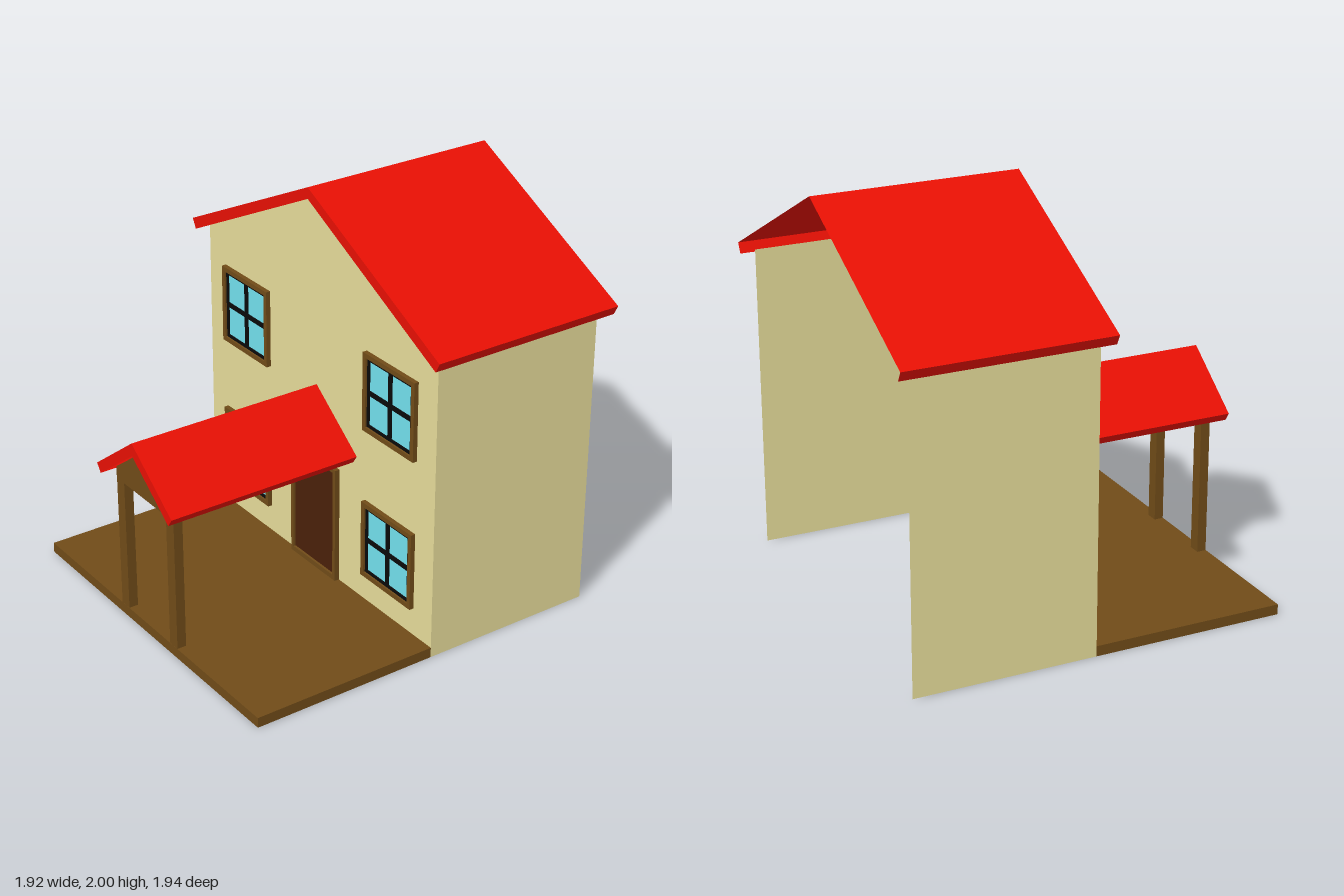
import * as THREE from 'three';
import { mergeGeometries } from 'three/addons/utils/BufferGeometryUtils.js';

const material = (color, side = THREE.FrontSide) =>
  new THREE.MeshStandardMaterial({ color, side });

const RED = material(0xe81004, THREE.DoubleSide);
const WALL = material(0xe6dc9a, THREE.DoubleSide);
const BROWN = material(0x704b18, THREE.DoubleSide);
const DOOR = material(0x4a200a);
const BLACK = material(0x0a0a0a);
const GLASS = material(0x73e0ed);

const WALL_Z = -0.025; // plane of the front wall

function add(parent, name, geometry, mat) {
  const mesh = new THREE.Mesh(geometry, mat);
  mesh.name = name;
  parent.add(mesh);
  return mesh;
}

// Box given by its limits on each axis
function box(parent, name, [x0, x1], [y0, y1], [z0, z1], mat) {
  const mesh = add(parent, name, new THREE.BoxGeometry(x1 - x0, y1 - y0, z1 - z0), mat);
  mesh.position.set((x0 + x1) / 2, (y0 + y1) / 2, (z0 + z1) / 2);
}

const polygon = (points) => new THREE.Shape(points.map(([x, y]) => new THREE.Vector2(x, y)));

const rectangle = (x0, x1, y0, y1) => polygon([[x0, y0], [x1, y0], [x1, y1], [x0, y1]]);

// Flat sheet facing the front
function sheet(parent, name, shape, z, mat) {
  add(parent, name, new THREE.ShapeGeometry(shape), mat).position.z = z;
}

// Shape extruded from z0 to z1
function prism(parent, name, shape, [z0, z1], mat) {
  const geometry = new THREE.ExtrudeGeometry(shape, { depth: z1 - z0, bevelEnabled: false });
  geometry.translate(0, 0, z0);
  add(parent, name, geometry, mat);
}

// Thin folded sheet: a line of points swept from z0 to z1
function ribbon(parent, name, points, [z0, z1], mat) {
  const strips = points.slice(1).map(([bx, by], i) => {
    const [ax, ay] = points[i];
    return new THREE.PlaneGeometry(Math.hypot(bx - ax, by - ay), z1 - z0)
      .rotateX(-Math.PI / 2)
      .rotateZ(Math.atan2(by - ay, bx - ax))
      .translate((ax + bx) / 2, (ay + by) / 2, (z0 + z1) / 2);
  });
  add(parent, name, mergeGeometries(strips), mat);
}

// Roof shell: two slopes with eave lips and a front fascia, open underneath
function roof(parent, name, { ridge, under, eave, lip }, depth) {
  const outline = [
    [-lip[0], lip[1]], [-eave[0], eave[1]], [0, ridge], [eave[0], eave[1]], [lip[0], lip[1]],
  ];
  ribbon(parent, name, outline, depth, RED);
  sheet(parent, name + 'Fascia', polygon([...outline, [0, under]]), depth[1], RED);
}

// Rectangular frame with one opening
function frame(parent, name, outer, inner, depth, mat) {
  const shape = rectangle(...outer);
  shape.holes.push(rectangle(...inner));
  prism(parent, name, shape, depth, mat);
}

// Four-pane window, centred on its own origin
function makeWindow() {
  const w = new THREE.Group();
  w.name = 'window';
  const a = 0.188, h = 0.195, t = 0.023, s = 0.013;
  const b = a - t, k = h - t;
  frame(w, 'windowFrame', [-a, a, -h, h], [-b, b, -k, k], [-0.023, 0.023], BROWN);
  frame(w, 'windowSash', [-b, b, -k, k], [-b + s, b - s, -k + s, k - s], [-0.014, 0.014], BLACK);
  box(w, 'verticalBar', [-0.012, 0.012], [-k, k], [-0.013, 0.013], BLACK);
  box(w, 'horizontalBar', [-b, b], [-0.012, 0.012], [-0.012, 0.012], BLACK);
  box(w, 'glass', [-b, b], [-k, k], [-0.006, 0.006], GLASS);
  return w;
}

function makeHouse() {
  const house = new THREE.Group();
  house.name = 'house';

  // Front wall with openings for the windows and the door
  const front = polygon([[-0.89, 0.05], [0.89, 0.05], [0.89, 1.5], [0, 1.945], [-0.89, 1.5]]);
  for (const x of [-0.568, 0.568]) {
    for (const y of [0.385, 1.145]) {
      front.holes.push(rectangle(x - 0.18, x + 0.18, y - 0.185, y + 0.185));
      const w = makeWindow();
      w.position.set(x, y, WALL_Z);
      house.add(w);
    }
  }
  front.holes.push(rectangle(-0.17, 0.17, 0.06, 0.635));
  sheet(house, 'frontWall', front, WALL_Z, WALL);

  // Thin side walls; the back stays open
  for (const x of [-0.89, 0.89]) {
    ribbon(house, 'sideWall', [[x, 0], [x, 1.5]], [-0.912, WALL_Z], WALL);
  }

  // Door in its frame
  frame(house, 'doorFrame', [-0.18, 0.18, 0.05, 0.645], [-0.16, 0.16, 0.075, 0.627], [WALL_Z, 0], BROWN);
  box(house, 'door', [-0.174, 0.174], [0.055, 0.639], [-0.035, -0.012], DOOR);

  roof(house, 'mainRoof',
    { ridge: 2, under: 1.945, eave: [0.96, 1.523], lip: [0.935, 1.475] }, [-0.97, 0.027]);
  return house;
}

function makePorch() {
  const porch = new THREE.Group();
  porch.name = 'porch';

  // Deck shell, open underneath and towards the house
  ribbon(porch, 'deck', [[-0.89, 0], [-0.89, 0.05], [0.89, 0.05], [0.89, 0]], [WALL_Z, 0.915], BROWN);
  sheet(porch, 'deckFront', rectangle(-0.89, 0.89, 0, 0.05), 0.915, BROWN);

  for (const x of [-0.209, 0.209]) {
    box(porch, 'post', [x - 0.031, x + 0.031], [0.005, 0.72], [0.868, 0.914], BROWN);
  }

  // Gable carried back to the house wall under the roof
  const gable = polygon([[-0.24, 0.715], [0.24, 0.715], [0.24, 0.774], [0, 0.953], [-0.24, 0.774]]);
  prism(porch, 'porchGable', gable, [-0.021, 0.915], BROWN);
  roof(porch, 'porchRoof',
    { ridge: 1.015, under: 0.952, eave: [0.317, 0.776], lip: [0.289, 0.735] }, [-0.022, 0.97]);
  return porch;
}

export function createModel() {
  const model = new THREE.Group();
  model.name = 'gabledHouse';
  model.add(makeHouse(), makePorch());
  return model;
}
